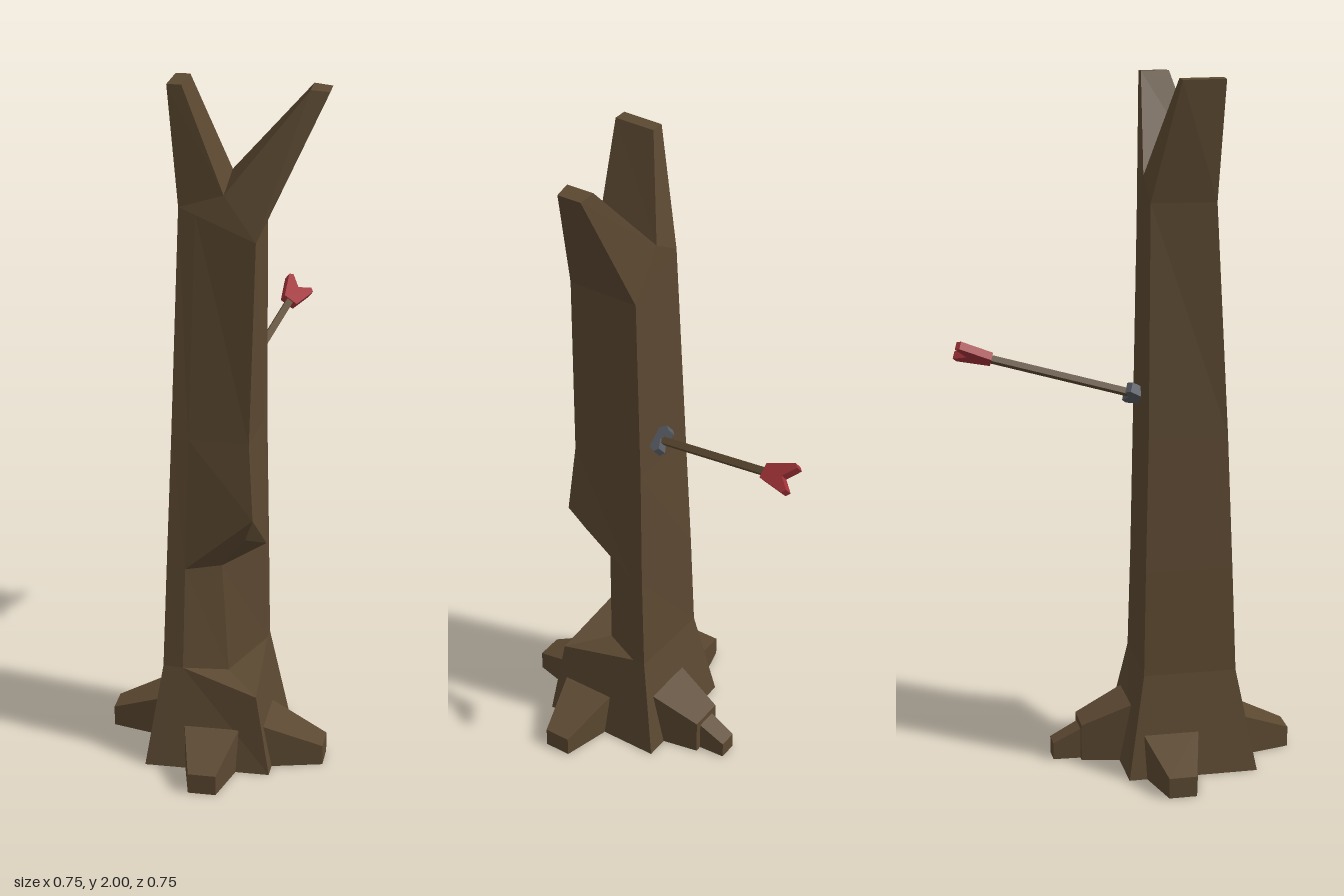
import * as THREE from 'three';

const bark = new THREE.MeshStandardMaterial({ color: 0x5b4831 });
bark.name = 'bark brown';
const red = new THREE.MeshStandardMaterial({ color: 0xa03238 });
red.name = 'feather red';
const steel = new THREE.MeshStandardMaterial({ color: 0x565b62 });
steel.name = 'steel grey';

const V = (x, y, z) => new THREE.Vector3(x, y, z);

function mesh(name, geometry, material) {
  const m = new THREE.Mesh(geometry, material);
  m.name = name;
  return m;
}

// Collects flat triangles and turns them into a faceted geometry
function facets() {
  const pos = [];
  const tri = (a, b, c) => {
    const area = b.clone().sub(a).cross(c.clone().sub(a)).length();
    if (area > 1e-7) for (const p of [a, b, c]) pos.push(p.x, p.y, p.z);
  };
  return {
    tri,
    // side walls between two rings that run clockwise seen from above
    loft(lower, upper) {
      lower.forEach((a, i) => {
        const j = (i + 1) % lower.length;
        tri(a, upper[i], upper[j]);
        tri(a, upper[j], lower[j]);
      });
    },
    cap(ring, up) {
      for (let i = 1; i < ring.length - 1; i++) {
        if (up) tri(ring[0], ring[i + 1], ring[i]);
        else tri(ring[0], ring[i], ring[i + 1]);
      }
    },
    build() {
      const g = new THREE.BufferGeometry();
      g.setAttribute('position', new THREE.Float32BufferAttribute(pos, 3));
      g.computeVertexNormals();
      return g;
    },
  };
}

// Four trunk corners plus two points that border the hollow; the front corner may be notched in
function ring(w, n, e, s, notch = s) {
  return [w, n, e, e.clone().lerp(s, 0.15), notch, w.clone().lerp(s, 0.22)];
}

function trunk() {
  const f = facets();
  const low = [V(-0.31, 0.3, 0.11), V(-0.155, 0.3, -0.11), V(0.06, 0.3, 0.045), V(-0.1, 0.29, 0.265)];
  const mid = [V(-0.295, 0.61, 0.108), V(-0.15, 0.61, -0.098), V(0.053, 0.61, 0.05), V(-0.1, 0.6, 0.255)];
  const w = V(-0.24, 1.66, 0.09), n = V(-0.12, 1.66, -0.05);
  const e = V(0.04, 1.58, 0.062), s = V(-0.08, 1.58, 0.24);
  const rings = [
    ring(V(-0.38, 0, 0.13), V(-0.165, 0, -0.18), V(0.135, 0, 0.025), V(-0.08, 0, 0.335)),
    ring(...low, V(-0.1, 0.235, 0.29)),
    // hollow
    ring(...low, V(-0.12, 0.26, 0.145)),
    ring(...mid, V(-0.14, 0.6, 0.145)),
    // overhanging brow
    ring(...mid, V(-0.1, 0.7, 0.215)),
    ring(...mid, V(-0.1, 0.78, 0.265)),
    ring(V(-0.275, 1, 0.105), V(-0.143, 1, -0.08), V(0.045, 1, 0.052), V(-0.1, 1, 0.24)),
    ring(w, n, e, s),
  ];
  f.cap(rings[0], false);
  for (let i = 1; i < rings.length; i++) f.loft(rings[i - 1], rings[i]);

  // fork with two broken limbs
  const front = V(-0.14, 1.7, 0.165), back = V(-0.04, 1.72, 0.005);
  f.tri(s, front, w);
  f.tri(n, back, e);
  const limbs = [
    [[w, n, back, front],
      [V(-0.27, 2, 0.09), V(-0.2, 2, -0.01), V(-0.167, 2, 0.012), V(-0.237, 2, 0.113)]],
    [[front, back, e, s],
      [V(0.08, 1.98, 0.236), V(0.125, 1.98, 0.168), V(0.165, 1.975, 0.2), V(0.126, 1.975, 0.26)]],
  ];
  for (const [lower, upper] of limbs) {
    f.loft(lower, upper);
    f.cap(upper, true);
  }
  return mesh('trunk', f.build(), bark);
}

// Box tapering outward along +z from [distance, half width, height] to another
function root(name, turn, offset, inner, outer) {
  const g = new THREE.BoxGeometry(1, 1, 1).toNonIndexed();
  const p = g.attributes.position;
  for (let i = 0; i < p.count; i++) {
    const [dist, half, height] = p.getZ(i) > 0 ? outer : inner;
    p.setXYZ(i, offset + Math.sign(p.getX(i)) * half, p.getY(i) > 0 ? height : 0, dist);
  }
  g.computeVertexNormals();
  const m = mesh(name, g, bark);
  m.rotation.y = turn * Math.PI / 2;
  return m;
}

function roots() {
  const g = new THREE.Group();
  g.name = 'roots';
  g.position.set(-0.12, 0, 0.078);
  g.rotation.y = -0.605;
  const inner = [0.14, 0.086, 0.137], outer = [0.323, 0.04, 0.06];
  g.add(
    root('frontRoot', 0, 0.008, inner, outer),
    root('leftRoot', 1, -0.062, inner, outer),
    root('rightRoot', -1, -0.06, inner, outer),
    root('backRoot', 2, -0.037, [0.14, 0.083, 0.18], [0.296, 0.052, 0.11]),
    root('backRootTip', 2, -0.037, [0.27, 0.034, 0.105], [0.376, 0.028, 0.05]),
  );
  return g;
}

// Flat outline extruded evenly about its own plane
function plate(name, points, depth, material) {
  const shape = new THREE.Shape(points.map(([x, y]) => new THREE.Vector2(x, y)));
  const g = new THREE.ExtrudeGeometry(shape, { depth, bevelEnabled: false });
  return mesh(name, g.translate(0, 0, -depth / 2), material);
}

// Arrow along local +y, its head sunk into the trunk
function arrow() {
  const g = new THREE.Group();
  g.name = 'arrow';
  const along = V(0.69, 0.245, -0.68).normalize();
  const face = V(-0.65, 0.59, -0.47).cross(along).normalize();
  const side = along.clone().cross(face);
  g.quaternion.setFromRotationMatrix(new THREE.Matrix4().makeBasis(side, along, face));
  g.position.set(-0.012, 1.092, -0.005);

  const shaft = mesh('arrowShaft', new THREE.BoxGeometry(0.02, 0.45, 0.018), bark);
  shaft.position.y = 0.225;
  g.add(
    shaft,
    plate('arrowHead', [[0, -0.08], [0.042, 0.012], [0.03, 0.026], [0, 0.012], [-0.03, 0.026], [-0.042, 0.012]], 0.03, steel),
    plate('arrowFletching', [[0.022, 0.415], [0.045, 0.51], [0.034, 0.522], [0, 0.485], [-0.034, 0.522], [-0.045, 0.51], [-0.022, 0.415]], 0.024, red),
  );
  return g;
}

export function createModel() {
  const model = new THREE.Group();
  model.name = 'deadTreeWithArrow';
  model.add(trunk(), roots(), arrow());
  return model;
}
